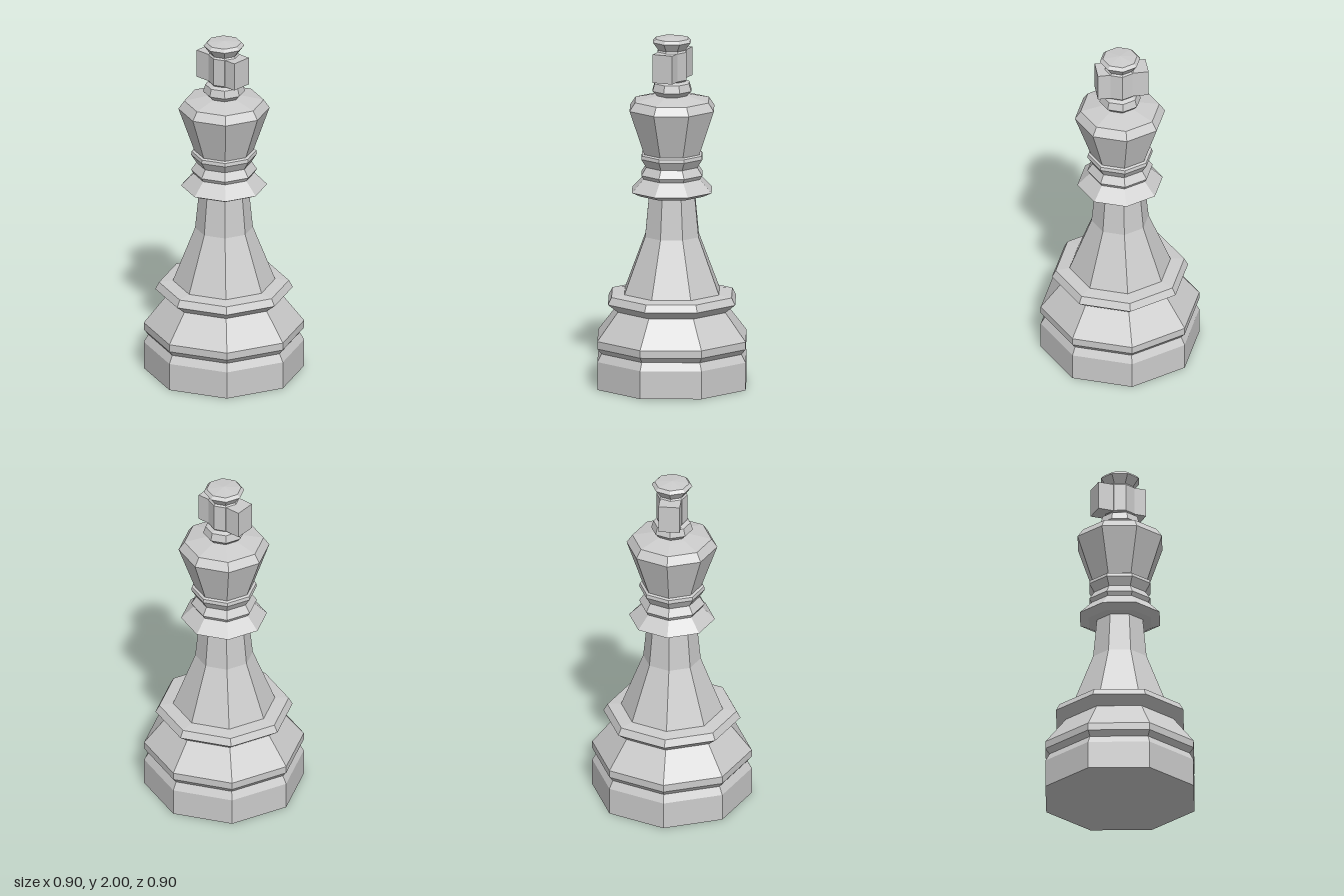
import * as THREE from 'three';

const material = new THREE.MeshStandardMaterial({ color: 0xcccccc, flatShading: true });

// Eight-sided turned part from [radius, height] pairs, bottom to top
function turned(name, profile) {
  const points = profile.map(([r, y]) => new THREE.Vector2(r, y));
  const mesh = new THREE.Mesh(new THREE.LatheGeometry(points, 8), material);
  mesh.name = name;
  return mesh;
}

export function createModel() {
  const group = new THREE.Group();
  group.name = 'chessKing';

  group.add(
    // Plinth with a groove, sloping shoulder and rim
    turned('base', [
      [0, 0], [0.452, 0], [0.452, 0.16], [0.427, 0.205], [0.452, 0.235], [0.452, 0.278],
      [0.328, 0.437], [0.388, 0.484], [0.366, 0.525], [0.288, 0.535],
    ]),
    // Tapering stem
    turned('stem', [[0.288, 0.535], [0.163, 0.857], [0.14, 1.087]]),
    // Wide collar with two narrow rings above
    turned('collar', [
      [0.14, 1.087], [0.19, 1.092], [0.243, 1.117], [0.172, 1.19], [0.186, 1.212],
      [0.156, 1.257], [0.186, 1.305], [0.182, 1.325], [0.168, 1.332],
    ]),
    // Flared head with a domed top
    turned('head', [
      [0.168, 1.332], [0.257, 1.587], [0.224, 1.635], [0.12, 1.658], [0.09, 1.664],
    ]),
    // Knob, column and cap of the finial
    turned('finial', [
      [0.09, 1.664], [0.118, 1.692], [0.105, 1.735], [0.08, 1.746], [0.088, 1.755],
      [0.088, 1.915], [0.08, 1.925], [0.115, 1.972], [0.098, 1.99], [0, 2],
    ]),
  );

  // Cross arms running front to back, the rear one slightly longer
  for (const [name, end] of [['frontArm', 0.135], ['backArm', -0.154]]) {
    const arm = new THREE.Mesh(new THREE.BoxGeometry(0.12, 0.163, Math.abs(end)), material);
    arm.position.set(0, 1.835, end / 2);
    arm.name = name;
    group.add(arm);
  }

  return group;
}
